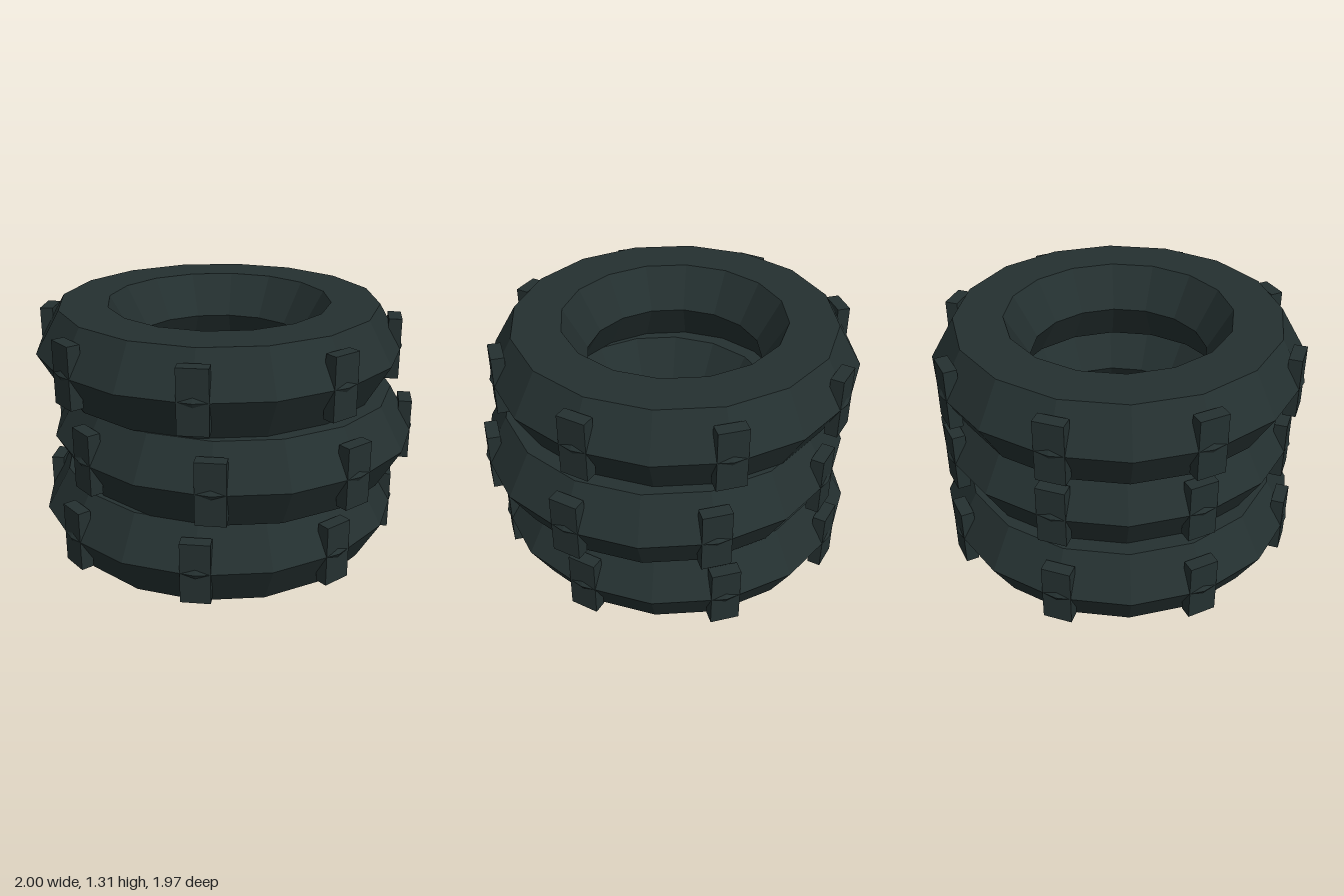
import * as THREE from 'three';

const TUBE = 0.252;                          // hexagonal tyre section radius
const RING = 0.712;                          // tyre centre-line radius
const HEIGHT = TUBE * Math.sqrt(3);          // flat-to-flat height of one tyre
const SIDES = 16;
const TREADS = 8;

export function createModel() {
  const rubber = new THREE.MeshStandardMaterial({ color: 0x243030, flatShading: true });
  rubber.name = 'dark rubber';

  // Six-sided tyre lying flat
  const ringGeometry = new THREE.TorusGeometry(RING, TUBE, 6, SIDES).rotateX(Math.PI / 2);
  // Tread block, slightly sunk so the tyre's ridge pokes through
  const treadGeometry = new THREE.BoxGeometry(0.15, 0.32, 0.068).translate(0, 0, 0.916);

  function makeTyre(name) {
    const tyre = new THREE.Group();
    tyre.name = name;
    const ring = new THREE.Mesh(ringGeometry, rubber);
    ring.name = 'tyreRing';
    tyre.add(ring);
    for (let i = 0; i < TREADS; i++) {
      const tread = new THREE.Mesh(treadGeometry, rubber);
      tread.name = 'treadBlock';
      tread.rotation.y = (i / TREADS) * Math.PI * 2;
      tyre.add(tread);
    }
    return tyre;
  }

  // Stack of three, the middle one shifted sideways
  const stack = new THREE.Group();
  stack.name = 'tyreStack';
  ['bottomTyre', 'middleTyre', 'topTyre'].forEach((name, i) => {
    const tyre = makeTyre(name);
    const shift = i === 1 ? 1 : -1;
    tyre.position.set(0.036 * shift, HEIGHT * (i + 0.5), -0.02 * shift);
    stack.add(tyre);
  });
  return stack;
}
